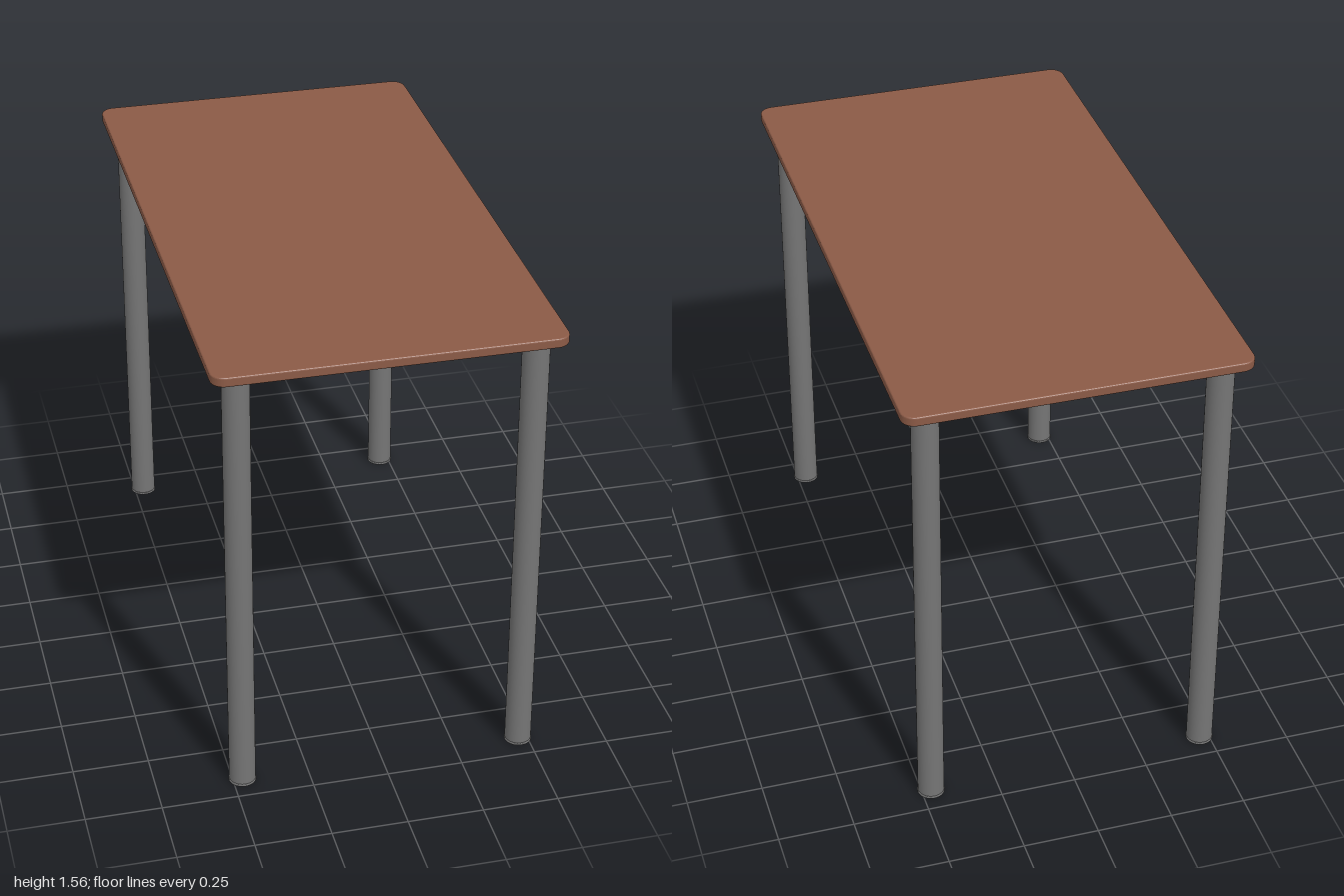
import * as THREE from 'three';

export function createModel() {
  const table = new THREE.Group();
  table.name = 'table';
  const wood = new THREE.MeshStandardMaterial({ color: 0x8b5a46 });
  wood.name = 'brown wood';
  const metal = new THREE.MeshStandardMaterial({ color: 0x757575 });
  metal.name = 'grey metal';

  // Tabletop: rounded rectangle with softly bevelled edges
  const bevel = 0.005, w = 0.555 - bevel, d = 1 - bevel, r = 0.04;
  const outline = new THREE.Shape();
  outline.absarc(w - r, d - r, r, 0, Math.PI / 2);
  outline.absarc(-w + r, d - r, r, Math.PI / 2, Math.PI);
  outline.absarc(-w + r, -d + r, r, Math.PI, Math.PI * 1.5);
  outline.absarc(w - r, -d + r, r, Math.PI * 1.5, Math.PI * 2);
  const topGeometry = new THREE.ExtrudeGeometry(outline, {
    depth: 0.022, bevelEnabled: true, bevelThickness: bevel, bevelSize: bevel, bevelSegments: 3, curveSegments: 8,
  });
  topGeometry.rotateX(-Math.PI / 2);
  const top = new THREE.Mesh(topGeometry, wood);
  top.name = 'tabletop';
  top.position.y = 1.524 + bevel;
  table.add(top);

  // Four round legs, each standing on a thin, slightly wider foot pad
  const legGeometry = new THREE.CylinderGeometry(0.0435, 0.0435, 1.517, 32);
  const footGeometry = new THREE.LatheGeometry(
    [[0, 0], [0.042, 0], [0.0455, 0.002], [0.0455, 0.007], [0.0435, 0.01], [0, 0.01]]
      .map(([x, y]) => new THREE.Vector2(x, y)), 32);
  for (const x of [-0.468, 0.468]) {
    for (const z of [-0.912, 0.912]) {
      const name = (z > 0 ? 'front' : 'back') + (x > 0 ? 'Left' : 'Right');
      const leg = new THREE.Mesh(legGeometry, metal);
      leg.name = name + 'Leg';
      leg.position.set(x, 0.01 + 1.517 / 2, z);
      const foot = new THREE.Mesh(footGeometry, metal);
      foot.name = name + 'Foot';
      foot.position.set(x, 0, z);
      table.add(leg, foot);
    }
  }
  return table;
}
